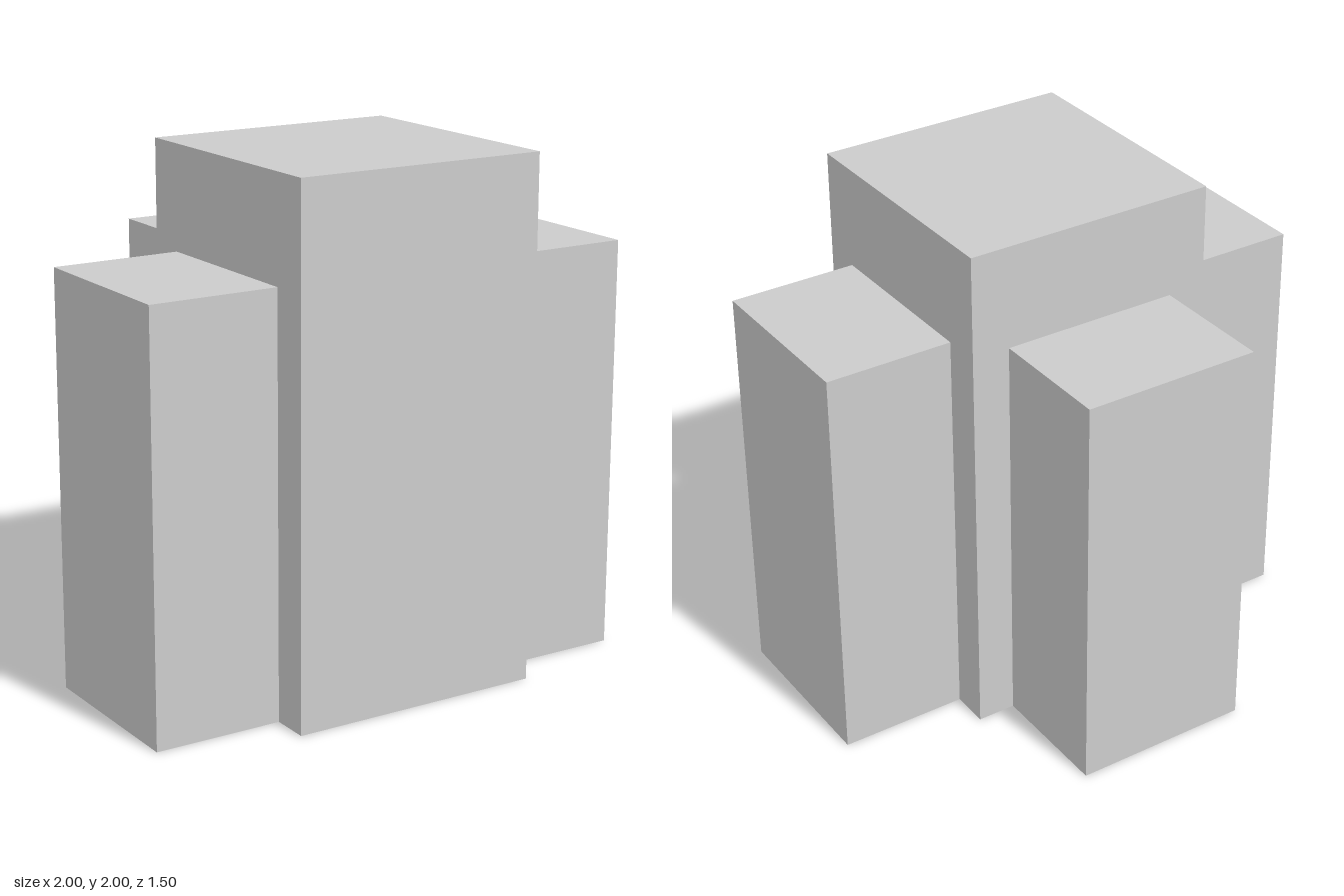
import * as THREE from 'three';

export function createModel() {
  const group = new THREE.Group();
  const material = new THREE.MeshStandardMaterial({ color: 0xcccccc, flatShading: true });

  // Upright block standing on the ground, centred on (x, z)
  function block(name, width, height, depth, x, z) {
    const mesh = new THREE.Mesh(new THREE.BoxGeometry(width, height, depth), material);
    mesh.name = name;
    mesh.position.set(x, height / 2, z);
    group.add(mesh);
  }

  // Tall central tower
  block('mainTower', 1, 2, 1, 0, 0.25);

  // Lower wings on both sides
  for (const [name, side] of [['leftWing', 1], ['rightWing', -1]]) {
    block(name, 0.5, 1.6, 0.7, side * 0.75, 0.25);
  }

  // Lower wing at the back
  block('backWing', 0.7, 1.6, 0.5, 0, -0.5);

  return group;
}
